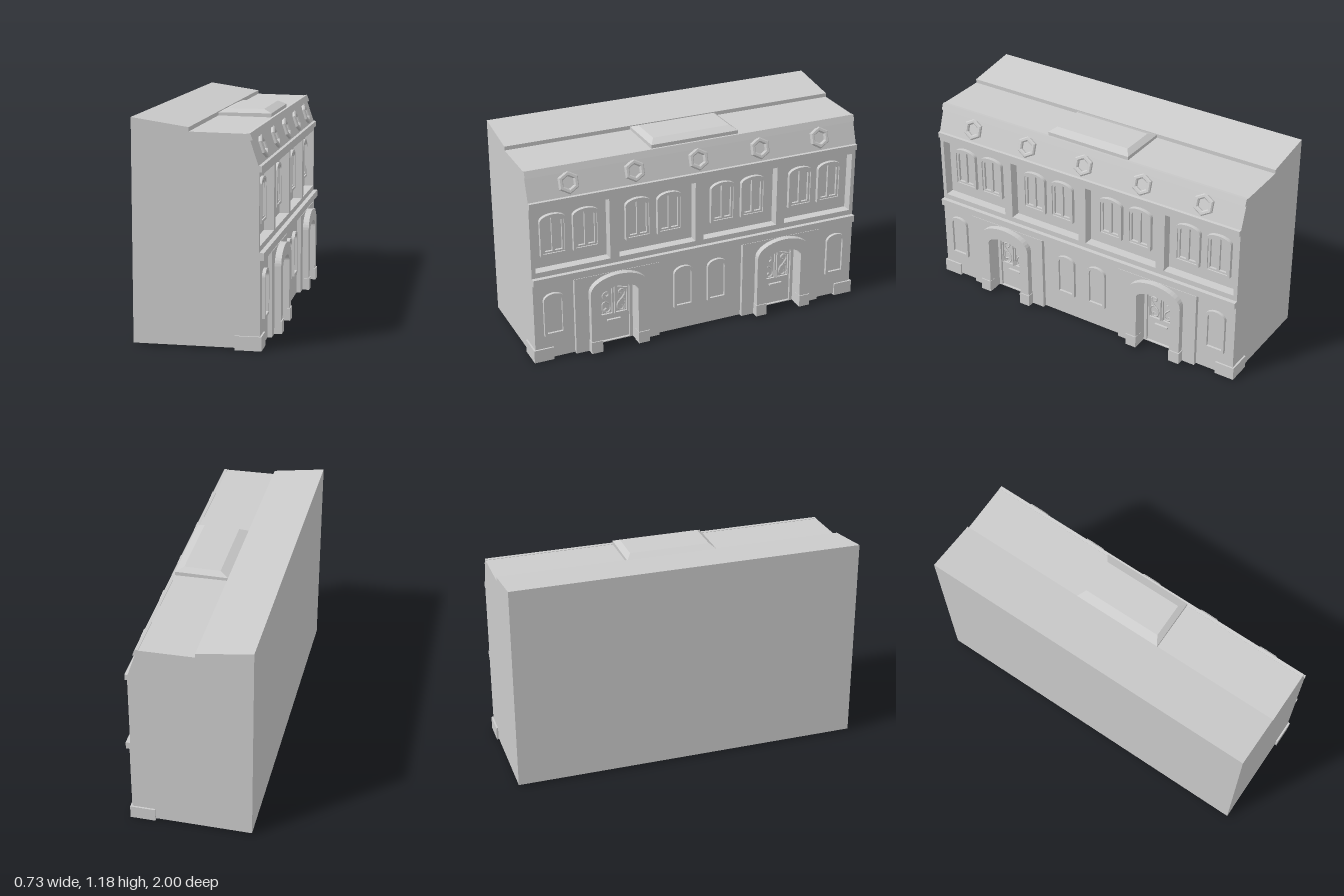
import * as THREE from 'three';

const grey = new THREE.MeshStandardMaterial({ color: 0xcccccc, flatShading: true, side: THREE.DoubleSide });

function add(parent, name, geometry) {
  const mesh = new THREE.Mesh(geometry, grey);
  mesh.name = name;
  parent.add(mesh);
  return mesh;
}

// Facade outline (s across, y up) extruded from x0 to x1; the facade faces +x
function slab(shape, x0, x1, z = 0) {
  return new THREE.ExtrudeGeometry(shape, { depth: x1 - x0, bevelEnabled: false, curveSegments: 10 })
    .rotateY(Math.PI / 2).translate(x0, 0, z);
}

// Cross-section (x, y) run along the length of the building
function run(points, length) {
  const shape = new THREE.Shape(points.map(p => new THREE.Vector2(...p)));
  return new THREE.ExtrudeGeometry(shape, { depth: length, bevelEnabled: false }).translate(0, 0, -length / 2);
}

function block(x0, x1, y0, y1, z0, z1) {
  return new THREE.BoxGeometry(x1 - x0, y1 - y0, z1 - z0)
    .translate((x0 + x1) / 2, (y0 + y1) / 2, (z0 + z1) / 2);
}

function rect(s0, s1, y0, y1) {
  return new THREE.Shape([[s0, y0], [s1, y0], [s1, y1], [s0, y1]].map(p => new THREE.Vector2(...p)));
}

// Opening with straight sides and an elliptical head
function arch(c, half, y0, spring, top) {
  const a = new THREE.Shape();
  a.moveTo(c - half, y0);
  a.lineTo(c + half, y0);
  a.lineTo(c + half, spring);
  a.absellipse(c, spring, half, top - spring, 0, Math.PI, false, 0);
  a.lineTo(c - half, y0);
  return a;
}

// Outline with doorway notches of given half width cut up from its foot
function notched(s0, s1, y0, y1, centres, half, spring, top) {
  const w = new THREE.Shape();
  w.moveTo(s0, y0);
  for (const c of centres) {
    w.lineTo(c - half, y0);
    w.lineTo(c - half, spring);
    w.absellipse(c, spring, half, top - spring, Math.PI, 0, true, 0);
    w.lineTo(c + half, y0);
  }
  w.lineTo(s1, y0);
  w.lineTo(s1, y1);
  w.lineTo(s0, y1);
  return w;
}

function hexagon(r) {
  return new THREE.Shape(Array.from({ length: 6 }, (_, i) => {
    const a = Math.PI / 2 + i * Math.PI / 3;
    return new THREE.Vector2(r * Math.cos(a), r * Math.sin(a));
  }));
}

function lowerWindow(parent, z) {
  const g = new THREE.Group();
  g.name = 'lowerWindow';
  const frame = arch(0, 0.06, 0.155, 0.37, 0.41);
  frame.holes.push(arch(0, 0.045, 0.17, 0.36, 0.397));
  add(g, 'windowFrame', slab(frame, 0.295, 0.318));
  add(g, 'windowPane', slab(arch(0, 0.046, 0.169, 0.36, 0.397), 0.295, 0.304));
  g.position.z = z;
  parent.add(g);
}

function upperWindow(parent, z) {
  const g = new THREE.Group();
  g.name = 'upperWindow';
  const outer = arch(0, 0.076, 0.61, 0.815, 0.852);
  outer.holes.push(arch(0, 0.062, 0.624, 0.808, 0.84));
  add(g, 'windowSurround', slab(outer, 0.235, 0.262));
  // Two casements with a mullion between
  const sash = arch(0, 0.062, 0.624, 0.808, 0.84);
  for (const side of [-1, 1]) {
    const light = new THREE.Shape();
    light.moveTo(side * 0.008, 0.634);
    light.lineTo(side * 0.05, 0.634);
    light.lineTo(side * 0.05, 0.808);
    light.quadraticCurveTo(side * 0.034, 0.828, side * 0.008, 0.83);
    sash.holes.push(light);
  }
  add(g, 'casements', slab(sash, 0.235, 0.254));
  g.position.z = z;
  parent.add(g);
}

function entrance(parent, z) {
  const g = new THREE.Group();
  g.name = 'entrance';
  add(g, 'entrancePanel', slab(notched(-0.25, 0.25, 0.01, 0.47, [0], 0.11, 0.35, 0.4), 0.295, 0.323));

  // Projecting arched surround on plinths
  const portal = new THREE.Shape();
  portal.moveTo(-0.17, 0.01);
  portal.lineTo(-0.11, 0.01);
  portal.lineTo(-0.11, 0.35);
  portal.absellipse(0, 0.35, 0.11, 0.05, Math.PI, 0, true, 0);
  portal.lineTo(0.11, 0.01);
  portal.lineTo(0.17, 0.01);
  portal.lineTo(0.17, 0.375);
  portal.absellipse(0, 0.375, 0.17, 0.095, 0, Math.PI, false, 0);
  add(g, 'portalArch', slab(portal, 0.3, 0.358));
  for (const s of [-1, 1]) {
    const a = s * 0.108, b = s * 0.174;
    add(g, 'portalPlinth', block(0.31, 0.364, 0.01, 0.08, Math.min(a, b), Math.max(a, b)));
  }

  // Door frame and leaf
  const frame = arch(0, 0.112, 0.01, 0.35, 0.402);
  frame.holes.push(arch(0, 0.092, 0.015, 0.335, 0.38));
  add(g, 'doorFrame', slab(frame, 0.235, 0.27));
  add(g, 'door', slab(arch(0, 0.095, 0.012, 0.335, 0.382), 0.235, 0.256));
  add(g, 'doorHandle', block(0.255, 0.27, 0.134, 0.144, -0.04, 0.04));

  // Paired lights with scrolled ironwork
  for (const s of [-1, 1]) {
    const edge = (a, b, y0, y1, y2) => new THREE.Shape([[a, y0], [b, y0], [b, y1], [a, y2]]
      .map(([u, v]) => new THREE.Vector2(s * u, v)));
    const light = edge(0.004, 0.084, 0.175, 0.325, 0.35);
    light.holes.push(edge(0.011, 0.077, 0.183, 0.319, 0.341));
    add(g, 'doorLightFrame', slab(light, 0.25, 0.268));
    const scroll = new THREE.CatmullRomCurve3([
      [0.045, 0.292], [0.034, 0.298], [0.032, 0.312], [0.046, 0.321], [0.063, 0.311], [0.066, 0.29],
      [0.05, 0.265], [0.028, 0.242], [0.02, 0.215], [0.032, 0.194], [0.052, 0.194], [0.058, 0.21], [0.045, 0.218]
    ].map(([u, v]) => new THREE.Vector3(0.262, v, -s * u)));
    add(g, 'doorScroll', new THREE.TubeGeometry(scroll, 40, 0.005, 5));
    const branch = new THREE.CatmullRomCurve3([[0.05, 0.262], [0.067, 0.25], [0.07, 0.225], [0.066, 0.187]]
      .map(([u, v]) => new THREE.Vector3(0.262, v, -s * u)));
    add(g, 'doorScrollBranch', new THREE.TubeGeometry(branch, 12, 0.004, 5));
  }
  g.position.z = z;
  parent.add(g);
}

export function createModel() {
  const model = new THREE.Group();
  model.name = 'townBuilding';
  const doors = [-0.51, 0.51];

  // Main block with stepped roof
  add(model, 'mainBlock', run([[-0.365, 0.01], [0.24, 0.01], [0.24, 1.113], [-0.065, 1.118],
    [-0.065, 1.14], [-0.365, 1.185]], 1.98));

  // Sloping attic and its trims
  add(model, 'atticSlope', run([[0.2, 0.945], [0.294, 0.945], [0.247, 1.085], [0.2, 1.085]], 1.98));
  add(model, 'roofTrim', run([[0.23, 1.08], [0.262, 1.08], [0.248, 1.117], [0.23, 1.115]], 1.98));
  add(model, 'cornice', run([[0.23, 0.92], [0.308, 0.92], [0.308, 0.952], [0.23, 0.958]], 1.98));
  add(model, 'floorBand', block(0.23, 0.32, 0.47, 0.51, -0.99, 0.99));

  // Facade walls
  add(model, 'lowerWall', slab(notched(-0.99, 0.99, 0.01, 0.48, doors, 0.11, 0.35, 0.4), 0.235, 0.3));
  const upper = rect(-0.99, 0.99, 0.5, 0.93);
  for (const [a, b] of [[-0.967, -0.536], [-0.483, -0.025], [0.025, 0.483], [0.536, 0.967]])
    upper.holes.push(rect(a, b, 0.54, 0.895));
  add(model, 'upperWall', slab(upper, 0.235, 0.295));

  for (const m of [-1, 1]) {
    for (const z of [0.845, 0.657, 0.352, 0.163]) upperWindow(model, m * z);
    for (const z of [0.876, 0.104]) lowerWindow(model, m * z);
    entrance(model, m * 0.51);
    add(model, 'cornerBlock', block(0.17, 0.31, 0, 0.075, m > 0 ? 0.885 : -1, m > 0 ? 1 : -0.885));
  }

  // Hexagonal attic windows lying on the slope
  const tilt = Math.atan2(0.047, 0.14);
  for (let i = -2; i <= 2; i++) {
    const ring = hexagon(0.056);
    ring.holes.push(hexagon(0.042));
    const g = new THREE.ExtrudeGeometry(ring, { depth: 0.012, bevelThickness: 0.006, bevelSize: 0.006, bevelSegments: 1 });
    add(model, 'atticWindow', g.rotateX(-tilt).rotateY(Math.PI / 2).translate(0.268, 1.022, i * 0.378));
  }

  // Raised roof hatch: a box whose top corners are drawn in
  add(model, 'roofHatchBase', block(-0.065, 0.232, 1.105, 1.135, -0.26, 0.26));
  const cap = block(-0.065, 0.232, 1.135, 1.156, -0.26, 0.26);
  const p = cap.attributes.position;
  for (let i = 0; i < p.count; i++) {
    if (p.getY(i) < 1.145) continue;
    p.setX(i, p.getX(i) < 0 ? -0.015 : 0.186);
    p.setZ(i, Math.sign(p.getZ(i)) * 0.23);
  }
  cap.computeVertexNormals();
  add(model, 'roofHatchCap', cap);
  return model;
}
